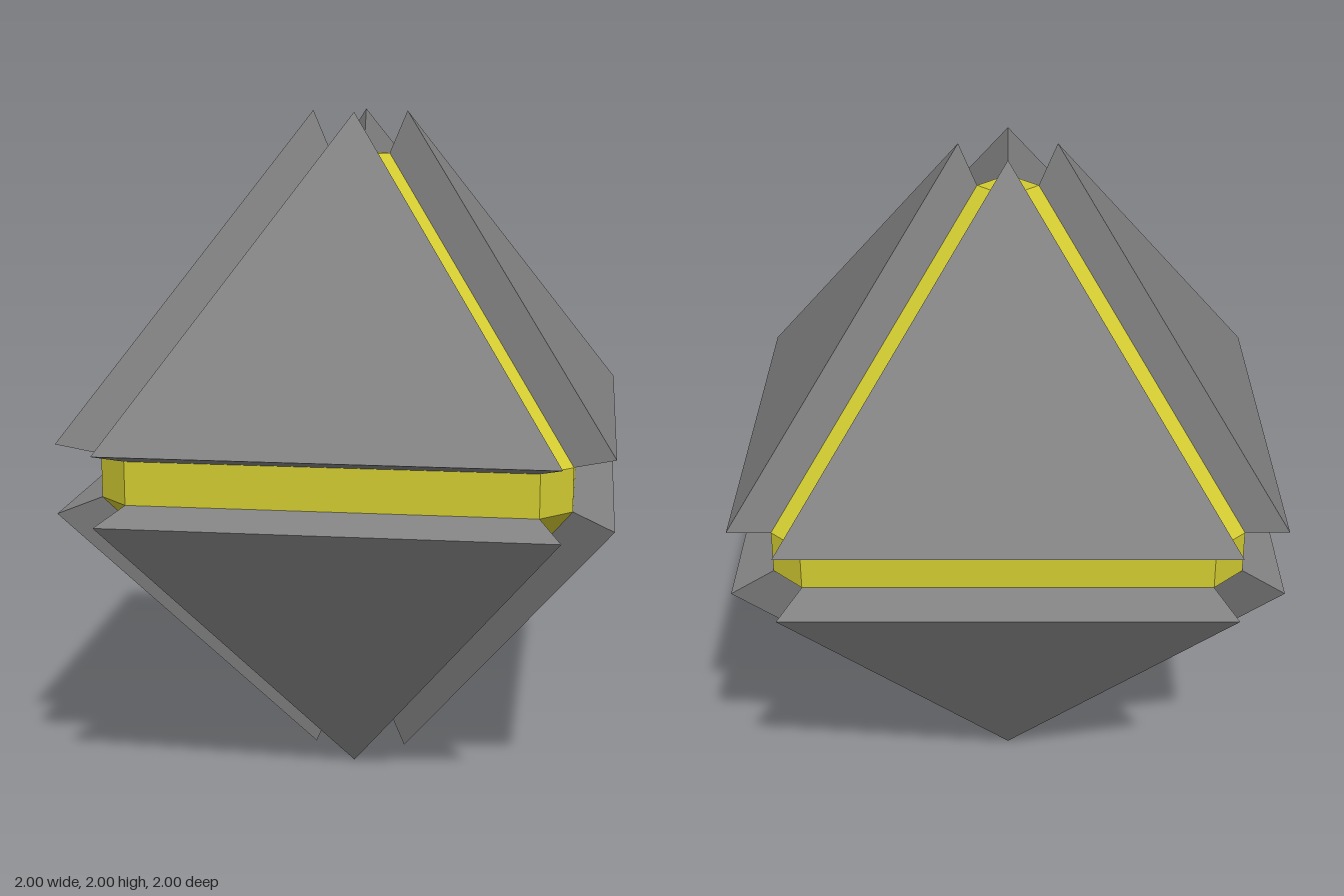
import * as THREE from 'three';
import { ConvexGeometry } from 'three/addons/geometries/ConvexGeometry.js';

const SIGNS = [-1, 1];

// The three corners of a triangle in one octant: each reaches `far` along one axis.
function octantTriangle(sx, sy, sz, far, near) {
  return [0, 1, 2].map((axis) => new THREE.Vector3(
    sx * (axis === 0 ? far : near),
    sy * (axis === 1 ? far : near),
    sz * (axis === 2 ? far : near)
  ));
}

export function createModel() {
  const model = new THREE.Group();
  model.name = 'octahedron';

  const plateMaterial = new THREE.MeshStandardMaterial({ color: 0x828282, flatShading: true });
  const coreMaterial = new THREE.MeshStandardMaterial({ color: 0xd1ca31, flatShading: true });

  const body = new THREE.Group();
  body.name = 'body';
  body.position.y = 1;
  model.add(body);

  const corePoints = [];
  for (const sx of SIGNS) for (const sy of SIGNS) for (const sz of SIGNS) {
    const inner = octantTriangle(sx, sy, sz, 0.875, 0.0625);
    const outer = octantTriangle(sx, sy, sz, 1, 0.1);
    corePoints.push(...inner);

    // Raised triangular plate, flaring outward from the core
    const plate = new THREE.Mesh(new ConvexGeometry([...inner, ...outer]), plateMaterial);
    plate.name = `${sy > 0 ? 'upper' : 'lower'}${sz > 0 ? 'Front' : 'Back'}${sx > 0 ? 'Left' : 'Right'}Plate`;
    body.add(plate);
  }

  // Core with bevelled edges and square tips, seen in the gaps between plates
  const core = new THREE.Mesh(new ConvexGeometry(corePoints), coreMaterial);
  core.name = 'core';
  body.add(core);

  return model;
}
